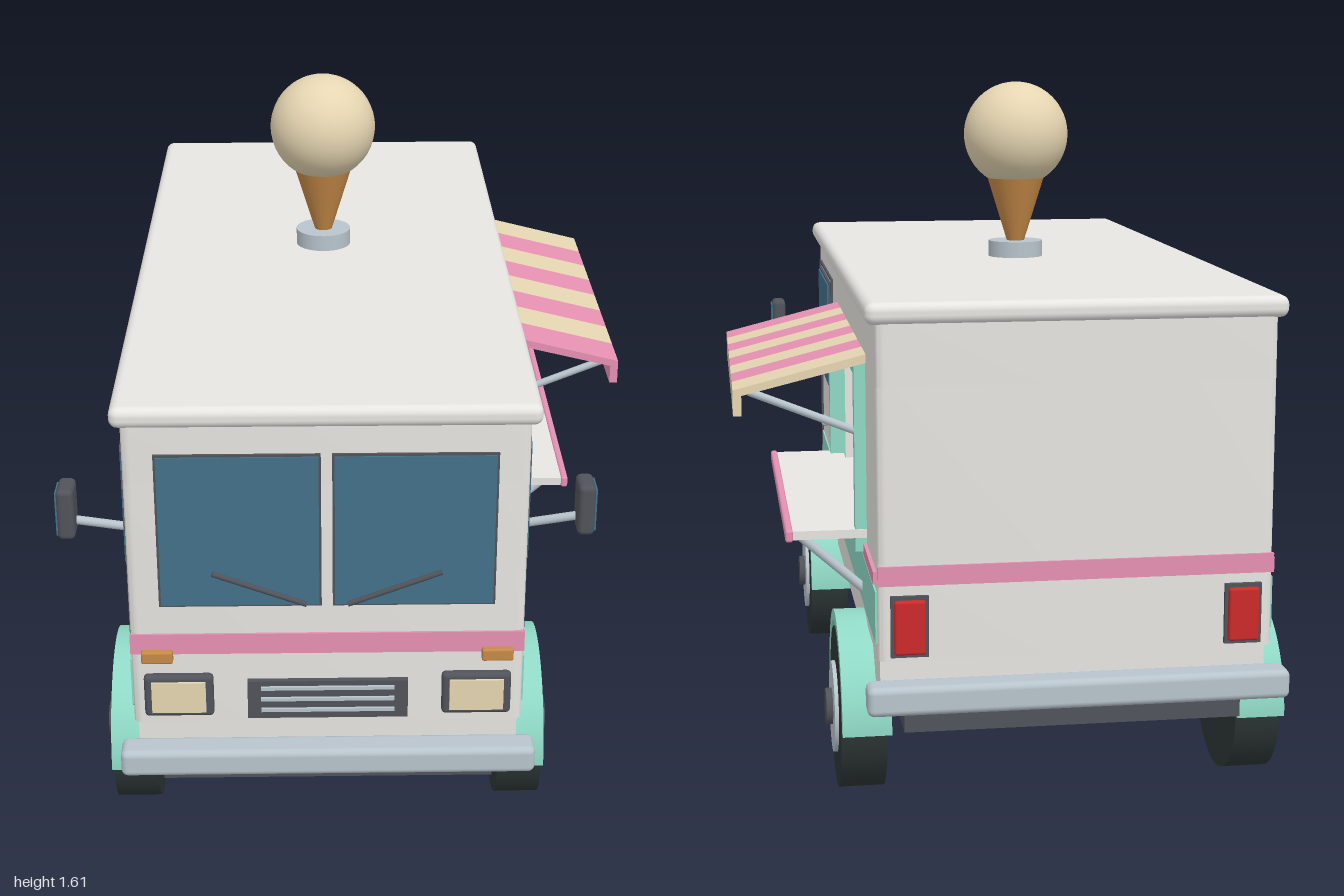
import * as THREE from 'three';
import { RoundedBoxGeometry } from 'three/addons/geometries/RoundedBoxGeometry.js';
import { toCreasedNormals } from 'three/addons/utils/BufferGeometryUtils.js';

const mat = (name, color) => {
  const m = new THREE.MeshStandardMaterial({ color });
  m.name = name;
  return m;
};

export function createModel() {
  const M = {
    body: mat('off white', 0xe8e6e2), pink: mat('pink', 0xe691b2), teal: mat('mint', 0x8fd8c5),
    cream: mat('cream', 0xe6d6b2), orange: mat('caramel', 0xc68a48), dark: mat('dark grey', 0x50535a),
    tyre: mat('tyre black', 0x2d3535), glass: mat('window blue', 0x42708a),
    silver: mat('silver', 0xb8c4cc), red: mat('red', 0xcc2a2a),
  };
  const model = new THREE.Group();
  model.name = 'foodTruck';
  const truck = new THREE.Group();
  truck.name = 'truck';
  truck.position.x = -0.073; // the awning overhangs one side only
  model.add(truck);

  const add = (name, geo, m, x = 0, y = 0, z = 0) => {
    const mesh = new THREE.Mesh(geo, m);
    mesh.name = name;
    mesh.position.set(x, y, z);
    truck.add(mesh);
    return mesh;
  };
  // Box given by its limits on each axis
  const box = (name, m, x0, x1, y0, y1, z0, z1, r = 0) => {
    const s = [x1 - x0, y1 - y0, z1 - z0];
    const geo = r ? new RoundedBoxGeometry(...s, 3, r) : new THREE.BoxGeometry(...s);
    return add(name, geo, m, (x0 + x1) / 2, (y0 + y1) / 2, (z0 + z1) / 2);
  };
  // Same box on the side s = 1 (left) or -1 (right)
  const sideBox = (s, name, m, x0, x1, ...rest) =>
    s > 0 ? box(name, m, x0, x1, ...rest) : box(name, m, -x1, -x0, ...rest);
  const rod = (name, m, a, b, r) => {
    const A = new THREE.Vector3(...a), B = new THREE.Vector3(...b);
    const mesh = add(name, new THREE.CylinderGeometry(r, r, A.distanceTo(B), 12), m);
    mesh.position.copy(A).add(B).multiplyScalar(0.5);
    mesh.quaternion.setFromUnitVectors(new THREE.Vector3(0, 1, 0), B.sub(A).normalize());
    return mesh;
  };
  const disc = (name, m, r, w, x, y, z, seg = 32) => {
    const geo = new THREE.CylinderGeometry(r, r, w, seg).rotateZ(Math.PI / 2);
    return add(name, geo, m, x, y, z);
  };

  // Body shell: stacked plan sections, the middle one notched for the serving hatch
  const W = 0.434, L = 0.937, R = 0.02, depth = 0.1, hatchFront = 0.165, hatchBack = -0.65;
  const section = (y0, y1, notch) => {
    const p = new THREE.Shape();
    p.moveTo(-W + R, -L);
    p.lineTo(W - R, -L);
    p.quadraticCurveTo(W, -L, W, -L + R);
    if (notch) {
      p.lineTo(W, -hatchFront);
      p.lineTo(W - depth, -hatchFront);
      p.lineTo(W - depth, -hatchBack);
      p.lineTo(W, -hatchBack);
    }
    p.lineTo(W, L - R);
    p.quadraticCurveTo(W, L, W - R, L);
    p.lineTo(-W + R, L);
    p.quadraticCurveTo(-W, L, -W, L - R);
    p.lineTo(-W, -L + R);
    p.quadraticCurveTo(-W, -L, -W + R, -L);
    const geo = new THREE.ExtrudeGeometry(p, { depth: y1 - y0, bevelEnabled: false, curveSegments: 4 });
    add('bodyShell', toCreasedNormals(geo.rotateX(-Math.PI / 2), 0.7), M.body, 0, y0, 0);
  };
  section(0.395, 0.61, false);
  section(0.61, 0.99, true);
  section(0.99, 1.14, false);
  box('sill', M.body, -0.427, 0.427, 0.31, 0.397, -0.905, 0.905);
  box('roof', M.body, -0.456, 0.456, 1.122, 1.17, -0.947, 0.947, 0.02);
  box('chassis', M.dark, -0.375, 0.375, 0.222, 0.315, -0.905, 0.905);
  box('frontBumper', M.silver, -0.462, 0.462, 0.29, 0.355, 0.93, 1, 0.015);
  box('rearBumper', M.silver, -0.462, 0.462, 0.29, 0.355, -1, -0.93, 0.015);

  // Stripes round the front and back
  box('frontStripe', M.pink, -W, W, 0.575, 0.625, 0.935, 0.942);
  box('rearStripe', M.pink, -W, W, 0.562, 0.605, -0.942, -0.935);

  for (const s of [-1, 1]) {
    // Front fittings
    sideBox(s, 'windscreenSeal', M.dark, 0.012, 0.366, 0.696, 1.062, 0.933, 0.943);
    sideBox(s, 'windscreenPane', M.glass, 0.017, 0.361, 0.701, 1.057, 0.94, 0.947);
    rod('wiper', M.dark, [s * 0.045, 0.705, 0.953], [s * 0.248, 0.782, 0.953], 0.006);
    sideBox(s, 'indicator', M.orange, 0.34, 0.41, 0.557, 0.587, 0.935, 0.956, 0.005);
    sideBox(s, 'headlightFrame', M.dark, 0.253, 0.407, 0.42, 0.524, 0.93, 0.955, 0.01);
    sideBox(s, 'headlight', M.cream, 0.27, 0.39, 0.434, 0.511, 0.952, 0.96);

    // Rear lights
    sideBox(s, 'tailLightFrame', M.dark, 0.325, 0.407, 0.405, 0.54, -0.946, -0.93);
    sideBox(s, 'tailLight', M.red, 0.332, 0.4, 0.413, 0.532, -0.958, -0.94, 0.006);

    // Side paint
    sideBox(s, 'sideBand', M.teal, W - 0.004, W + 0.004, 0.43, 0.546, -0.92, 0.915);
    sideBox(s, 'sideStripe', M.pink, W - 0.004, W + 0.008, 0.562, 0.59, -0.92, 0.37);

    // Cab door: seams, window and handle
    for (const z of [0.372, 0.872])
      sideBox(s, 'doorSeam', M.dark, W - 0.003, W + 0.006, 0.4, 1.062, z - 0.003, z + 0.003);
    sideBox(s, 'doorSeam', M.dark, W - 0.003, W + 0.006, 1.058, 1.064, 0.369, 0.875);
    sideBox(s, 'doorWindowSeal', M.dark, W - 0.003, W + 0.007, 0.751, 1.044, 0.457, 0.853);
    sideBox(s, 'doorWindow', M.glass, W + 0.003, W + 0.011, 0.756, 1.039, 0.462, 0.848);
    sideBox(s, 'doorHandle', M.silver, W + 0.012, W + 0.032, 0.643, 0.662, 0.434, 0.517, 0.008);
    sideBox(s, 'handleMount', M.silver, W - 0.003, W + 0.016, 0.646, 0.659, 0.44, 0.455);

    // Wing mirror
    rod('mirrorArm', M.silver, [s * 0.43, 0.82, 0.805], [s * 0.55, 0.858, 0.84], 0.01);
    sideBox(s, 'mirrorHousing', M.dark, 0.546, 0.584, 0.83, 0.95, 0.811, 0.887, 0.012);
    sideBox(s, 'mirrorGlass', M.glass, 0.58, 0.587, 0.84, 0.94, 0.819, 0.879);

    // Wheels and mudguards
    for (const z of [-0.6, 0.6]) {
      disc('tyre', M.tyre, 0.185, 0.103, s * 0.4525, 0.185, z, 40);
      disc('rim', M.silver, 0.105, 0.02, s * 0.503, 0.185, z);
      disc('hubCap', M.dark, 0.042, 0.03, s * 0.513, 0.185, z, 20);
      const arch = new THREE.Shape();
      arch.absarc(0, 0, 0.222, 0, Math.PI, false);
      arch.absarc(0, 0, 0.196, Math.PI, 0, true);
      const geo = new THREE.ExtrudeGeometry(arch, { depth: 0.11, bevelEnabled: false, curveSegments: 24 });
      geo.translate(0, 0, -0.055).rotateY(Math.PI / 2);
      add('mudguard', toCreasedNormals(geo, 0.5), M.teal, s * 0.449, 0.187, z);
    }
  }
  for (const z of [-0.6, 0.6]) rod('axle', M.dark, [-0.42, 0.185, z], [0.42, 0.185, z], 0.032);

  // Grille
  box('grille', M.dark, -0.178, 0.178, 0.412, 0.507, 0.93, 0.95);
  for (const y of [0.435, 0.463, 0.491])
    box('grilleSlat', M.silver, -0.148, 0.148, y - 0.004, y + 0.004, 0.945, 0.956);

  // Serving hatch with menu board
  box('hatchBack', M.dark, W - depth - 0.002, W - depth + 0.006, 0.61, 0.99, hatchBack, hatchFront);
  for (const z of [hatchBack - 0.012, hatchFront + 0.008])
    box('hatchPost', M.teal, 0.42, 0.46, 0.572, 1.0, z - 0.016, z + 0.016);
  box('hatchLintel', M.teal, 0.42, 0.46, 0.975, 1.005, -0.678, 0.189);
  box('hatchSill', M.teal, 0.42, 0.46, 0.572, 0.602, -0.678, 0.189);
  const boardX = W - depth + 0.012;
  box('menuBoard', M.cream, boardX - 0.008, boardX, 0.737, 0.95, -0.435, -0.055);
  [[M.teal, -0.12], [M.pink, -0.245], [M.orange, -0.367]].forEach(([m, z]) =>
    disc('menuDot', m, 0.033, 0.006, boardX + 0.002, 0.845, z, 24));

  // Counter on angled brackets
  box('counter', M.body, 0.425, 0.605, 0.604, 0.624, -0.68, 0.195);
  box('counterEdge', M.pink, 0.6, 0.617, 0.599, 0.628, -0.685, 0.2, 0.006);
  for (const z of [-0.58, 0.105])
    rod('counterBracket', M.silver, [0.43, 0.455, z], [0.595, 0.602, z], 0.011);

  // Striped awning: sloped panels with a hanging valance
  const profile = new THREE.Shape();
  [[0.43, 1.005], [0.43, 1.025], [0.727, 0.95], [0.727, 0.892], [0.708, 0.892], [0.708, 0.937]]
    .forEach(([x, y], i) => (i ? profile.lineTo(x, y) : profile.moveTo(x, y)));
  const stripe = 0.895 / 8;
  for (let i = 0; i < 8; i++) {
    const geo = new THREE.ExtrudeGeometry(profile, { depth: stripe, bevelEnabled: false });
    add('awningStripe', geo, i % 2 ? M.pink : M.cream, 0, 0, -0.692 + i * stripe);
  }
  for (const z of [-0.66, 0.175])
    rod('awningStrut', M.silver, [0.44, 0.84, z], [0.69, 0.94, z], 0.009);

  // Ice cream on the roof
  const iceZ = -0.068;
  add('coneStand', new THREE.CylinderGeometry(0.068, 0.068, 0.045, 32), M.silver, 0, 1.187, iceZ);
  add('cone', new THREE.CylinderGeometry(0.084, 0.019, 0.21, 32), M.orange, 0, 1.305, iceZ);
  add('scoop', new THREE.SphereGeometry(0.13, 32, 24), M.cream, 0, 1.475, iceZ);

  return model;
}
